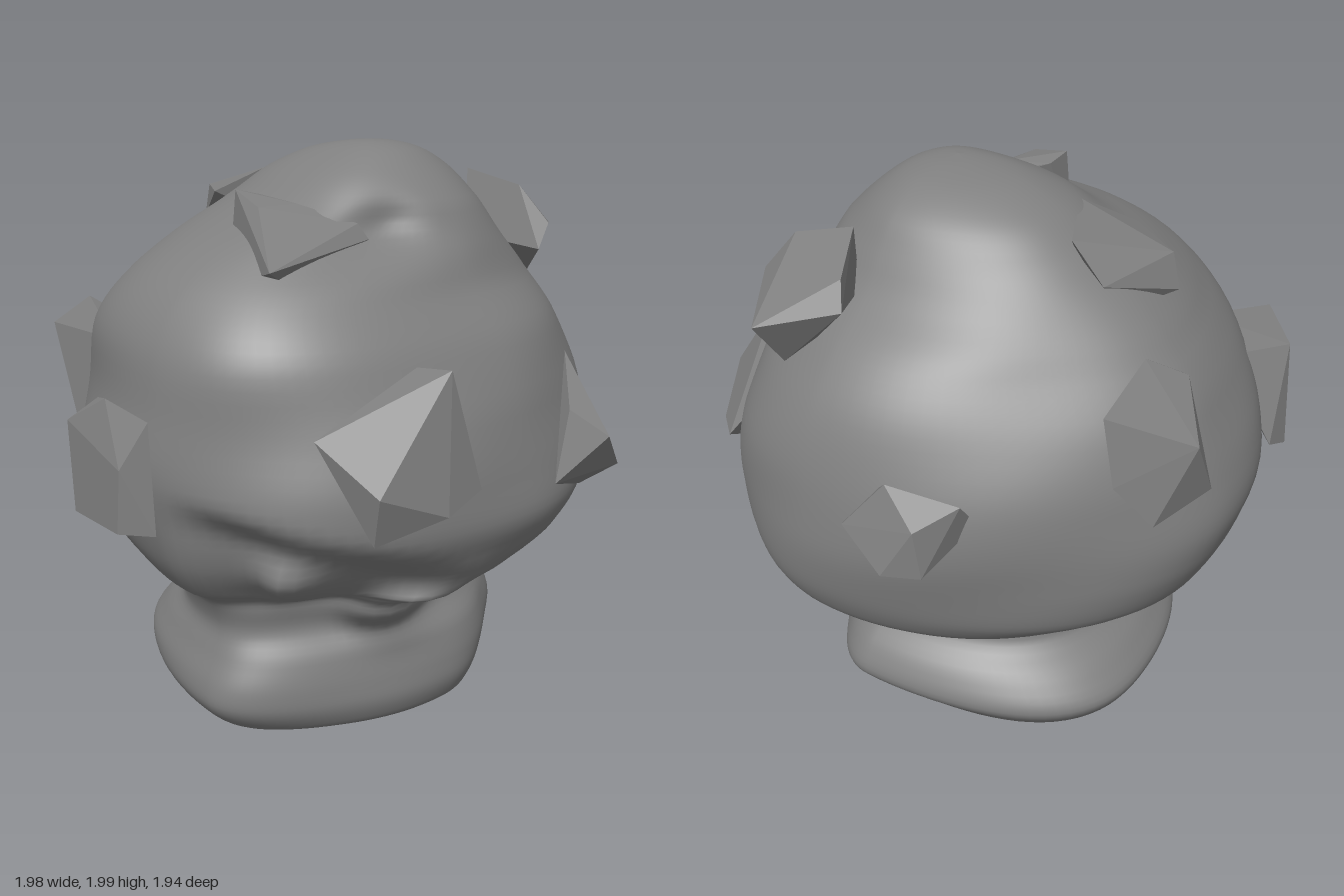
import * as THREE from 'three';
import { ConvexGeometry } from 'three/addons/geometries/ConvexGeometry.js';

const { smoothstep } = THREE.MathUtils;
const AXIS = { x: 0.1, z: 0.1 };
const SEGMENTS = 96;
const STEPS = 5;

// Body outline per height: [y, left, right, front, back]
const OUTLINE = [
  [0.01, -0.54, 0.49, 0.49, -0.55], [0.04, -0.61, 0.57, 0.52, -0.63],
  [0.12, -0.68, 0.65, 0.54, -0.7], [0.2, -0.68, 0.71, 0.53, -0.73],
  [0.3, -0.64, 0.67, 0.5, -0.65], [0.4, -0.61, 0.58, 0.43, -0.53],
  [0.5, -0.64, 0.57, 0.44, -0.55], [0.55, -0.7, 0.68, 0.55, -0.65],
  [0.59, -0.75, 0.84, 0.68, -0.73], [0.7, -0.82, 0.91, 0.8, -0.88],
  [0.85, -0.87, 0.94, 0.87, -0.94], [1.0, -0.89, 0.95, 0.85, -0.965],
  [1.2, -0.86, 0.93, 0.79, -0.93], [1.4, -0.84, 0.85, 0.7, -0.84],
  [1.55, -0.75, 0.74, 0.58, -0.72], [1.68, -0.58, 0.59, 0.53, -0.6],
  [1.8, -0.33, 0.5, 0.46, -0.46], [1.9, -0.18, 0.42, 0.35, -0.32],
  [1.965, -0.05, 0.31, 0.26, -0.16], [1.992, 0.03, 0.2, 0.18, 0], [2.0, 0.1, 0.1, 0.1, 0.1],
];

// Local swellings and hollows: [angle, height, angular size, vertical size, amount]
const SWELLINGS = [
  [1.87, 0.49, 0.22, 0.12, 0.45], // drip hanging over the base
  [2.52, 0.68, 0.15, 0.11, 0.14], // smaller drip at the side
  [2.1, 1.73, 0.42, 0.1, -0.26], // hollow beside the crown
  [4.0, 0.72, 0.4, 0.12, 0.03], // full rim at the back
];

// Corner points of each faceted chunk
const FRONT_CHUNKS = [
  [[-0.66, 1.2, 0.64], [-0.3, 1.39, 0.85], [-0.29, 1.37, 0.7], [-0.23, 1, 0.78], [-0.23, 1.02, 0.92], [-0.4, 0.98, 0.94], [-0.64, 1.08, 0.89], [-0.62, 0.92, 0.85], [-0.5, 1, 0.6]],
  [[0.35, 1.33, 0.78], [0.27, 1.16, 0.87], [0.2, 0.92, 0.88], [0.36, 1.07, 0.97], [0.45, 0.84, 0.8], [0.64, 0.95, 0.76], [0.55, 1.1, 0.66], [0.53, 0.92, 0.9]],
];
const TOP_CHUNKS = [
  [[0.63, 1.7, 0.48], [0.58, 1.83, 0.38], [0.53, 1.88, 0.18], [0.72, 1.81, 0.07], [0.77, 1.73, 0.03], [0.9, 1.66, 0.28], [0.78, 1.49, 0.28], [0.58, 1.61, 0.48], [0.75, 1.6, 0.16], [0.5, 1.65, 0.2]],
  [[-0.59, 1.65, 0.37], [-0.17, 1.71, 0.37], [-0.19, 1.76, 0.34], [-0.43, 1.86, 0.02], [-0.34, 1.84, 0.03], [-0.45, 1.55, 0], [-0.47, 1.82, 0.18], [-0.32, 1.82, 0.2], [-0.4, 1.55, 0.3]],
  [[-0.03, 1.8, -0.63], [-0.03, 1.68, -0.66], [0.23, 1.88, -0.42], [0.2, 1.74, -0.52], [-0.04, 1.89, -0.28], [-0.17, 1.8, -0.42], [0.1, 1.6, -0.5], [0, 1.7, -0.3]],
];
const SIDE_CHUNKS = [
  [[0.99, 1.02, -0.25], [0.8, 1.1, -0.02], [0.89, 1.28, -0.2], [0.82, 1.25, -0.43], [0.95, 1.2, -0.35], [0.94, 1.1, -0.06], [0.94, 1.03, -0.37], [0.85, 0.97, -0.25], [0.74, 1.14, -0.43]],
  [[-0.99, 0.84, 0.09], [-0.96, 0.83, -0.2], [-0.92, 1.24, -0.05], [-0.94, 1.13, -0.25], [-0.9, 1.2, 0.15], [-0.98, 1.05, 0.1], [-0.9, 0.83, 0.17], [-0.8, 1, 0], [-0.85, 1.2, -0.2], [-0.82, 0.83, -0.2]],
];
const BACK_CHUNKS = [
  [[0.24, 1.57, -0.7], [0.53, 1.52, -0.73], [0.14, 1.5, -0.8], [0.1, 1.48, -0.7], [0.34, 1.4, -0.95], [0.22, 1.18, -0.95], [0.12, 1.18, -0.78], [0.54, 1.3, -0.78], [0.46, 1.15, -0.88], [0.3, 1.15, -0.8]],
  [[-0.42, 1.38, -0.9], [-0.36, 1, -0.9], [-0.7, 1.35, -0.7], [-0.66, 0.98, -0.64], [-0.55, 0.95, -0.8], [-0.45, 0.97, -0.92], [-0.58, 1.3, -0.5], [-0.35, 1.3, -0.7]],
];

const bell = (d, width) => Math.exp(-((d / width) ** 2));

// Fullness of the four diagonal corners: base first, then cap
function cornerFullness(c, s, y) {
  const [base, cap] = s > 0
    ? (c > 0 ? [-0.08, -0.01] : [-0.05, 0.05])
    : (c > 0 ? [0.04, -0.06] : [0, 0.02]);
  const amount = THREE.MathUtils.lerp(base, cap, smoothstep(y, 0.4, 0.65));
  return amount * (2 * c * s) ** 2 * (1 - smoothstep(y, 1.5, 1.8));
}

// Smooth lumpy body lofted through the outline
function bodyGeometry() {
  const curveA = new THREE.CatmullRomCurve3(OUTLINE.map(([y, l, r]) => new THREE.Vector3(y, l, r)));
  const curveB = new THREE.CatmullRomCurve3(OUTLINE.map(([, , , f, b]) => new THREE.Vector3(f, b, 0)));
  const rings = (OUTLINE.length - 1) * STEPS;
  const positions = [], index = [];
  for (let i = 0; i <= rings; i++) {
    const { x: y, y: left, z: right } = curveA.getPoint(i / rings);
    const { x: front, y: back } = curveB.getPoint(i / rings);
    for (let j = 0; j < SEGMENTS; j++) {
      const angle = (j / SEGMENTS) * Math.PI * 2;
      const c = Math.cos(angle), s = Math.sin(angle);
      const x = c * (c > 0 ? right - AXIS.x : AXIS.x - left);
      const z = s * (s > 0 ? front - AXIS.z : AXIS.z - back);
      // gentle lumps
      let scale = 1 + cornerFullness(c, s, y) + 0.015 * Math.sin(5 * angle + 4 * y) * Math.sin(7 * y);
      // slanting undercut at the front of the cap
      const depth = smoothstep(0.66 - 0.38 * (x + AXIS.x) - y, 0, 0.15);
      const side = smoothstep(s, 0.05, 0.5) * smoothstep(-c, -0.3, 0.1);
      scale -= 0.14 * depth * side * smoothstep(y, 0.45, 0.62);
      for (const [a, h, wide, tall, amount] of SWELLINGS) {
        scale += amount * bell(angle - a, wide) * bell(y - h, tall);
      }
      positions.push(AXIS.x + x * scale, y, AXIS.z + z * scale);
      if (i < rings) {
        const a = i * SEGMENTS + j, b = i * SEGMENTS + ((j + 1) % SEGMENTS);
        index.push(a, a + SEGMENTS, b, b, a + SEGMENTS, b + SEGMENTS);
      }
    }
  }
  const geometry = new THREE.BufferGeometry();
  geometry.setAttribute('position', new THREE.Float32BufferAttribute(positions, 3));
  geometry.setIndex(index);
  geometry.computeVertexNormals();
  return geometry;
}

// Flat underside sharing the first ring of the body
function undersideGeometry(body) {
  const p = body.getAttribute('position');
  const shape = new THREE.Shape();
  for (let j = 0; j < SEGMENTS; j++) shape[j ? 'lineTo' : 'moveTo'](p.getX(j), p.getZ(j));
  return new THREE.ShapeGeometry(shape).rotateX(Math.PI / 2).translate(0, p.getY(0), 0);
}

export function createModel() {
  const model = new THREE.Group();
  const grey = new THREE.MeshStandardMaterial({ color: 0x808080 });
  grey.name = 'plain grey';

  const add = (name, geometry) => {
    const mesh = new THREE.Mesh(geometry, grey);
    mesh.name = name;
    model.add(mesh);
  };

  const body = bodyGeometry();
  add('body', body);
  add('underside', undersideGeometry(body));

  // Faceted chunks studding the cap
  const chunks = { frontChunk: FRONT_CHUNKS, topChunk: TOP_CHUNKS, sideChunk: SIDE_CHUNKS, backChunk: BACK_CHUNKS };
  for (const [name, list] of Object.entries(chunks)) {
    for (const corners of list) add(name, new ConvexGeometry(corners.map((p) => new THREE.Vector3(...p))));
  }
  return model;
}
